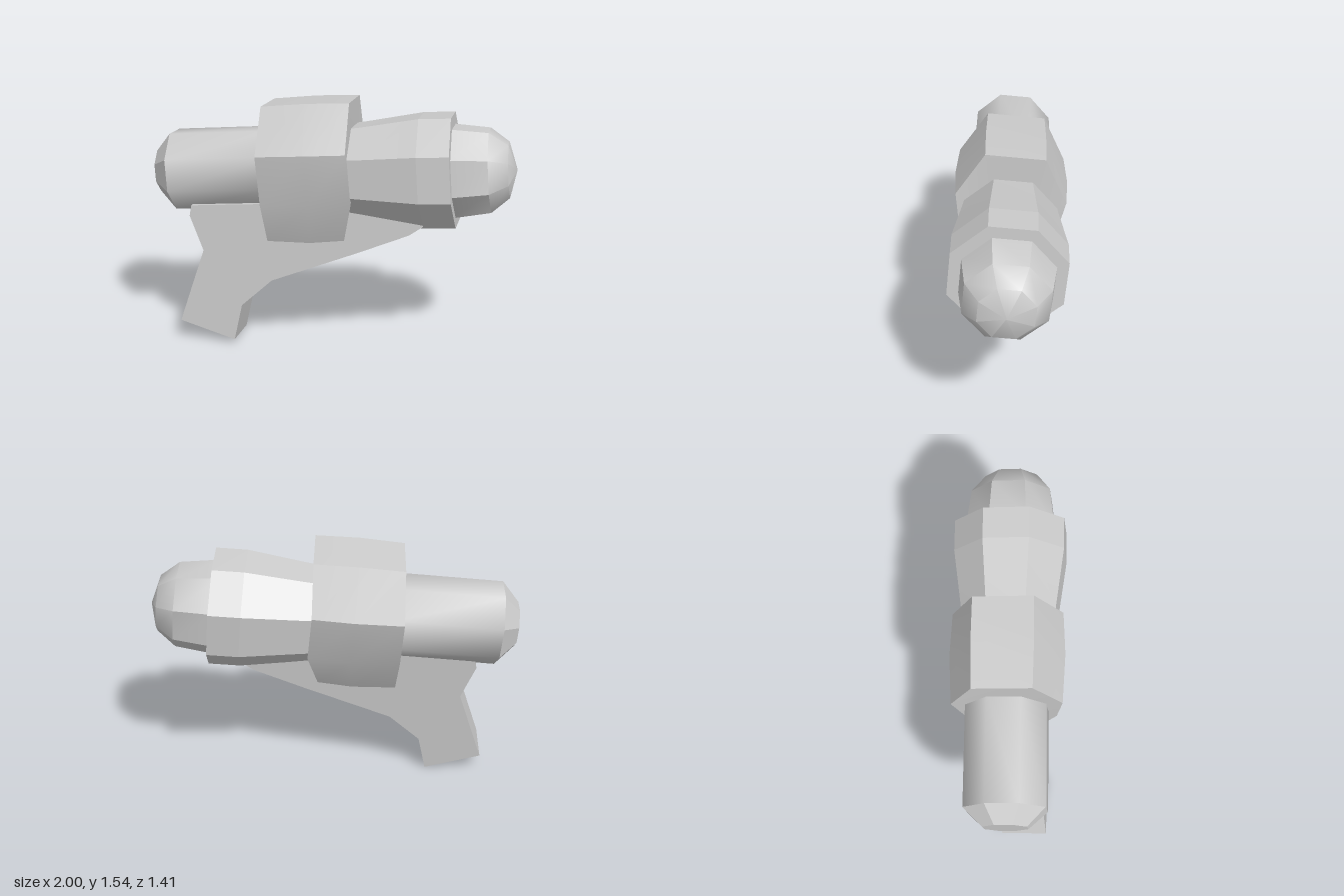
import * as THREE from 'three';
import { toCreasedNormals } from 'three/addons/utils/BufferGeometryUtils.js';

const material = new THREE.MeshStandardMaterial({ color: 0xcccccc });

// Regular octagon with flats up and to the sides, at distance x along the barrel
function octagon(x, apothem, y = 0, z = 0.01) {
  const r = apothem / Math.cos(Math.PI / 8);
  return Array.from({ length: 8 }, (_, i) => {
    const t = (i + 0.5) * Math.PI / 4;
    return new THREE.Vector3(x, y + r * Math.cos(t), z + r * Math.sin(t));
  });
}

// Mirrored section from half-profile points [x, y, halfWidth]
function mirrored(half, z) {
  const side = half.map(([x, y, w]) => new THREE.Vector3(x, y, z + w));
  const other = half.map(([x, y, w]) => new THREE.Vector3(x, y, z - w)).reverse();
  return [...side, ...other];
}

// Skin a row of rings (back to front) and close both ends
function loft(name, rings, crease) {
  const pos = [];
  const tri = (...pts) => pts.forEach(p => pos.push(p.x, p.y, p.z));
  const centre = ring => ring.reduce((c, p) => c.add(p), new THREE.Vector3()).divideScalar(ring.length);
  const first = rings[0], last = rings[rings.length - 1];
  const c0 = centre(first), c1 = centre(last);
  const n = first.length;
  for (let j = 0; j < n; j++) {
    const k = (j + 1) % n;
    for (let i = 0; i < rings.length - 1; i++) {
      const p = rings[i], q = rings[i + 1];
      tri(p[j], p[k], q[j]);
      tri(p[k], q[k], q[j]);
    }
    tri(c0, first[k], first[j]);
    tri(c1, last[j], last[k]);
  }
  const geo = new THREE.BufferGeometry();
  geo.setAttribute('position', new THREE.Float32BufferAttribute(pos, 3));
  const mesh = new THREE.Mesh(toCreasedNormals(geo, crease), material);
  mesh.name = name;
  return mesh;
}

export function createModel() {
  const model = new THREE.Group();
  model.name = 'toyBlaster';

  // Rear tube with smooth sides, and its bevelled end
  model.add(loft('rearTube', [octagon(0, 0.235, 0, 0.005), octagon(0.65, 0.235, 0, 0.005)], 0.9));
  model.add(loft('rearCap', [octagon(-0.105, 0.127, 0, 0.005), octagon(0, 0.235, 0, 0.005)], 0.3));

  // Main body: tall eight-sided block, bulging slightly in the middle
  model.add(loft('mainBody', [
    mirrored([[0.61, 0.394, 0.172], [0.59, 0.118, 0.322], [0.585, -0.185, 0.27], [0.585, -0.43, 0.16]], 0.012),
    mirrored([[0.88, 0.402, 0.178], [0.88, 0.118, 0.337], [0.88, -0.19, 0.28], [0.85, -0.445, 0.165]], 0.012),
    mirrored([[1.145, 0.396, 0.175], [1.13, 0.115, 0.325], [1.135, -0.195, 0.27], [1.06, -0.435, 0.16]], 0.012),
  ], 0.4));

  // Front barrel, flaring toward the muzzle
  model.add(loft('frontBarrel', [
    octagon(1.0, 0.26, -0.035), octagon(1.18, 0.28, -0.04),
    octagon(1.54, 0.328, -0.045), octagon(1.73, 0.328, -0.048),
  ], 0.1));

  // Rounded muzzle
  model.add(loft('muzzle', [
    octagon(1.70, 0.267, -0.053), octagon(1.94, 0.238, -0.055),
    octagon(2.05, 0.157, -0.056), octagon(2.094, 0.005, -0.057),
  ], 0.7));

  // Grip and the sloping support below the barrel
  const outline = [
    [0.12, -0.2], [0.104, -0.265], [0.173, -0.485], [-0.014, -0.935], [0.324, -1.062],
    [0.389, -0.84], [0.591, -0.682], [1.13, -0.515], [1.455, -0.408], [1.54, -0.357], [1.5, -0.2],
  ];
  const shape = new THREE.Shape(outline.map(([x, y]) => new THREE.Vector2(x, y)));
  const gripGeo = new THREE.ExtrudeGeometry(shape, { depth: 0.28, bevelEnabled: false });
  gripGeo.translate(0, 0, -0.11);
  const grip = new THREE.Mesh(toCreasedNormals(gripGeo, 0.3), material);
  grip.name = 'grip';
  model.add(grip);

  // Tilted resting pose
  const forward = new THREE.Vector3(0.863, 0.084, 0.498).normalize();
  const side = new THREE.Vector3(-0.505, 0.096, 0.857);
  const up = new THREE.Vector3().crossVectors(side, forward).normalize();
  side.crossVectors(forward, up);
  model.quaternion.setFromRotationMatrix(new THREE.Matrix4().makeBasis(forward, up, side));
  model.position.set(-0.85, 1.05, -0.5);

  const root = new THREE.Group();
  root.name = 'model';
  root.add(model);
  return root;
}
